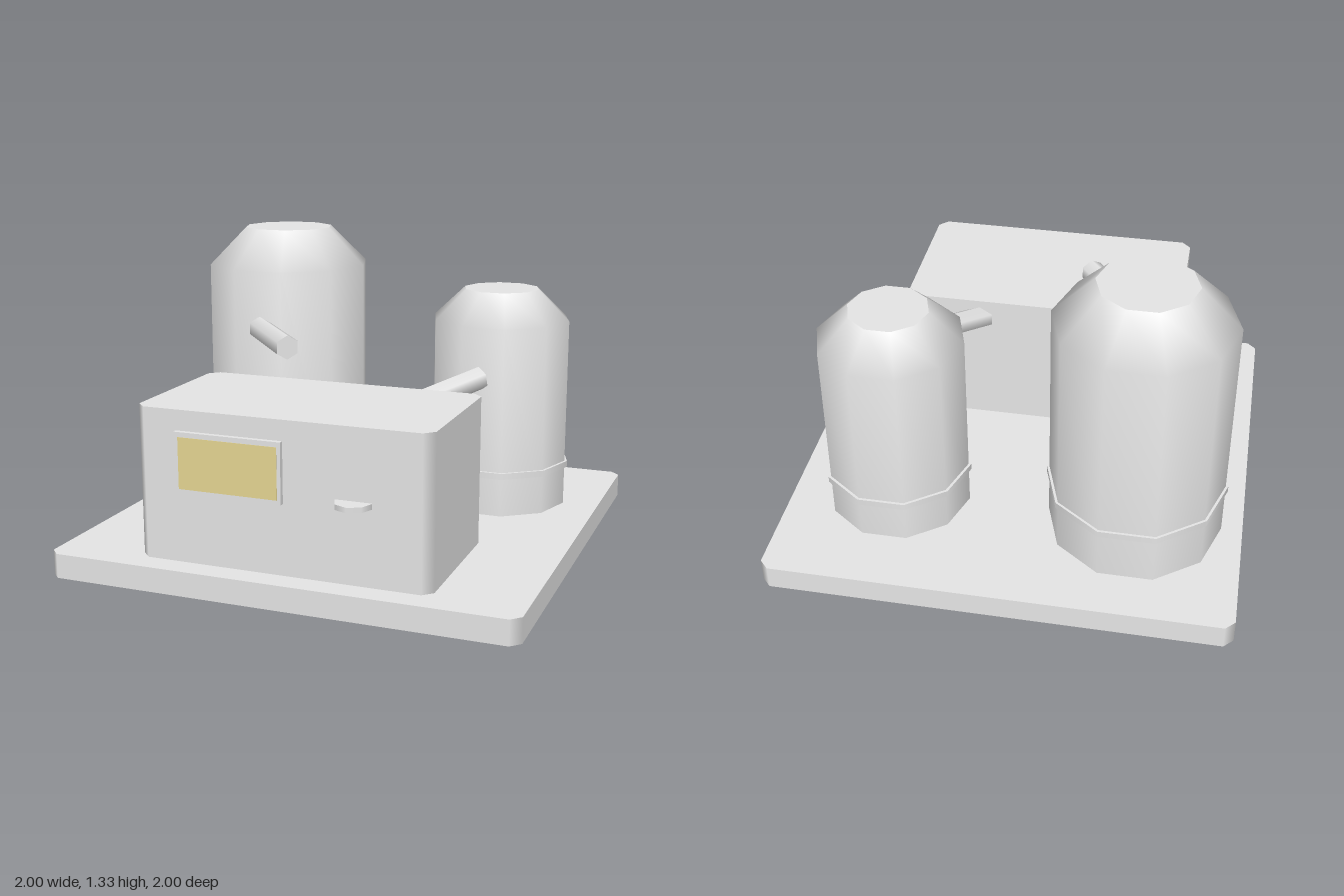
import * as THREE from 'three';

const grey = new THREE.MeshStandardMaterial({ color: 0xe5e5e5, side: THREE.DoubleSide });
grey.name = 'light grey';
const yellow = new THREE.MeshStandardMaterial({ color: 0xe5d592 });
yellow.name = 'pale yellow';

function part(name, geometry, material = grey, x = 0, y = 0, z = 0) {
  const mesh = new THREE.Mesh(geometry, material);
  mesh.name = name;
  mesh.position.set(x, y, z);
  return mesh;
}

// Hollow block, open below, with cut vertical corners that blend into the flat sides.
function chamferedBlock(w, h, d, c) {
  const a = w / 2, b = d / 2;
  const shape = new THREE.Shape([
    [a, -b + c], [a, b - c], [a - c, b], [-a + c, b],
    [-a, b - c], [-a, -b + c], [-a + c, -b], [a - c, -b],
  ].map(([x, y]) => new THREE.Vector2(x, y)));
  const block = new THREE.ExtrudeGeometry(shape, { depth: h, bevelEnabled: false });
  block.rotateX(-Math.PI / 2);
  const pos = block.attributes.position, normal = block.attributes.normal;
  const points = [], normals = [];
  for (let i = 0; i < pos.count; i++) {
    const x = pos.getX(i), z = pos.getZ(i), ny = normal.getY(i);
    if (ny < -0.5) continue;
    points.push(x, pos.getY(i), z);
    if (ny > 0.5) normals.push(0, 1, 0);
    else if (Math.abs(x) > a - 1e-4) normals.push(Math.sign(x), 0, 0);
    else normals.push(0, 0, Math.sign(z));
  }
  const geometry = new THREE.BufferGeometry();
  geometry.setAttribute('position', new THREE.Float32BufferAttribute(points, 3));
  geometry.setAttribute('normal', new THREE.Float32BufferAttribute(normals, 3));
  return geometry;
}

// Ten-sided tank with a smooth sloped shoulder, flat cap and a thin band.
function tank(name, x, z, r, shoulderY, topR, topY, bandY, bandR) {
  const group = new THREE.Group();
  group.name = name;
  group.position.set(x, 0, z);
  // The repeated point keeps the rim of the cap sharp.
  const profile = [[r, 0.105], [r, shoulderY], [topR, topY], [topR, topY], [0, topY]]
    .map(([px, py]) => new THREE.Vector2(px, py));
  group.add(part('tankBody', new THREE.LatheGeometry(profile, 10, Math.PI / 2)));
  group.add(part('tankBand',
    new THREE.CylinderGeometry(bandR, bandR, 0.028, 10, 1, false, Math.PI / 2), grey, 0, bandY, 0));
  return group;
}

// Six-sided pipe between two points, with an edge on top.
function pipe(name, from, to) {
  const a = new THREE.Vector3(...from), b = new THREE.Vector3(...to);
  const geometry = new THREE.CylinderGeometry(0.0525, 0.0525, a.distanceTo(b), 6).rotateX(Math.PI / 2);
  const mesh = part(name, geometry);
  mesh.position.copy(a).add(b).multiplyScalar(0.5);
  mesh.lookAt(b);
  return mesh;
}

export function createModel() {
  const model = new THREE.Group();
  model.name = 'tankStation';

  // Base and cabinet
  model.add(part('basePlate', chamferedBlock(2, 0.105, 2, 0.04)));
  model.add(part('cabinet', chamferedBlock(1.256, 0.635, 0.683, 0.04), grey, 0, 0.105, 0.5525));

  // Tanks
  model.add(tank('largeTank', -0.528, -0.421, 0.38, 1.16, 0.207, 1.332, 0.335, 0.391));
  model.add(tank('smallTank', 0.526, -0.421, 0.315, 0.955, 0.172, 1.091, 0.293, 0.327));

  // Pipes
  model.add(pipe('largeTankPipe', [-0.523, 0.898, -0.065], [-0.213, 0.898, 0.317]));
  model.add(pipe('smallTankPipe', [0.523, 0.737, -0.102], [0.217, 0.628, 0.302]));

  // Window and handle on the cabinet front
  model.add(part('windowFrame', new THREE.BoxGeometry(0.463, 0.253, 0.03), grey, -0.213, 0.528, 0.9));
  model.add(part('windowPane', new THREE.BoxGeometry(0.428, 0.214, 0.006), yellow, -0.211, 0.527, 0.914));
  model.add(part('handle', new THREE.CylinderGeometry(0.076, 0.076, 0.022, 8), grey, 0.314, 0.435, 0.9));

  return model;
}
